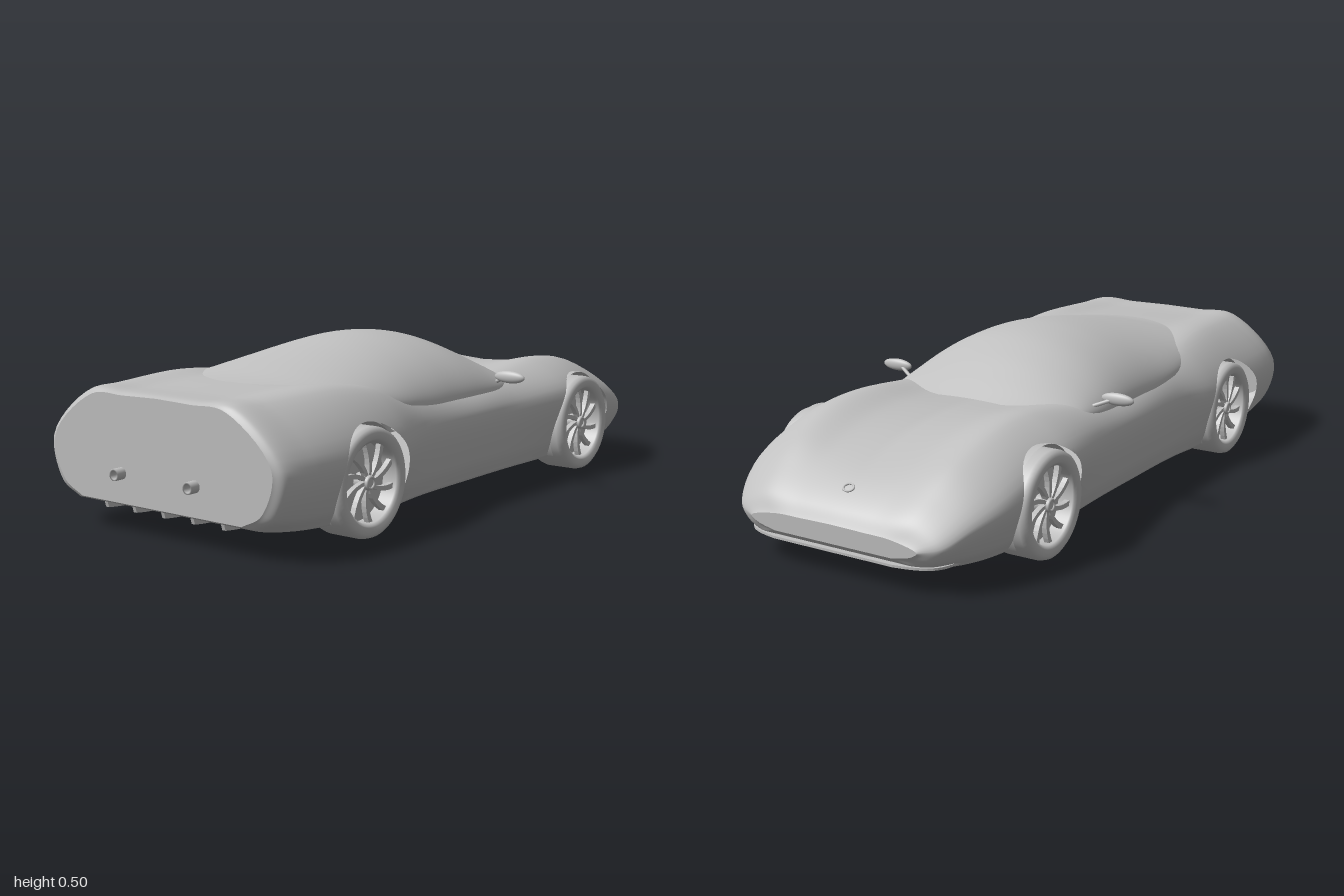
import * as THREE from 'three';

const paint = new THREE.MeshStandardMaterial({ color: 0xc0c0c0, side: THREE.DoubleSide });
paint.name = 'plain grey';

const AXLES = [-0.585, 0.572], HUB_Y = 0.155, ARCH_R = 0.167, WELL_Z = 0.29;

function add(parent, name, geometry, x = 0, y = 0, z = 0) {
  const mesh = new THREE.Mesh(geometry, paint);
  mesh.name = name;
  mesh.position.set(x, y, z);
  parent.add(mesh);
  return mesh;
}

// Smooths a table of stations along its first column; returns count + 1 rows.
function smoothRows(rows, count) {
  const curves = rows[0].slice(1).map((_, k) =>
    new THREE.CatmullRomCurve3(rows.map(r => new THREE.Vector3(r[0], r[k + 1], 0))));
  const out = [];
  for (let i = 0; i <= count; i++) {
    // Column heights are resampled at equal x so that every ring stays flat
    const x = THREE.MathUtils.lerp(rows[0][0], rows[rows.length - 1][0], 0.5 - 0.5 * Math.cos(Math.PI * i / count));
    let s = 0;
    while (s < rows.length - 2 && rows[s + 1][0] < x) s++;
    let lo = s / (rows.length - 1), hi = (s + 1) / (rows.length - 1);
    out.push([x, ...curves.map(c => {
      let a = lo, b = hi;
      for (let n = 0; n < 16; n++) {
        const m = (a + b) / 2;
        if (c.getPoint(m).x < x) a = m; else b = m;
      }
      return c.getPoint((a + b) / 2).y;
    })]);
  }
  return out;
}

// Skins rings of points; rings run from the top over +z.
function loft(rings, closed) {
  const n = rings[0].length, index = [];
  for (let i = 0; i < rings.length - 1; i++) {
    for (let j = 0; j < (closed ? n : n - 1); j++) {
      const a = i * n + j, b = i * n + (j + 1) % n;
      index.push(a, b, a + n, b, b + n, a + n);
    }
  }
  const g = new THREE.BufferGeometry().setFromPoints(rings.flat());
  g.setIndex(index);
  g.computeVertexNormals();
  return g;
}

// Flat fan closing the end of a loft
function cap(ring, forward) {
  const mid = new THREE.Vector3(ring[0].x, (ring[0].y + ring[ring.length / 2].y) / 2, 0);
  const pts = [];
  ring.forEach((p, j) => {
    const q = ring[(j + 1) % ring.length];
    pts.push(mid, forward ? q : p, forward ? p : q);
  });
  const g = new THREE.BufferGeometry().setFromPoints(pts);
  g.computeVertexNormals();
  return g;
}

// Trims the wheel openings out of a mesh, cutting triangles along the arch circle
function cutArches(geometry) {
  const g = geometry.toNonIndexed(), P = g.attributes.position, N = g.attributes.normal;
  const pos = [], nor = [];
  const keep = p => Math.max(
    Math.min(...AXLES.map(x => Math.hypot(p.x - x, p.y - HUB_Y))) - ARCH_R, WELL_Z - Math.abs(p.z));
  for (let t = 0; t < P.count; t += 3) {
    const tri = [0, 1, 2].map(k => {
      const p = new THREE.Vector3().fromBufferAttribute(P, t + k);
      return { p, n: new THREE.Vector3().fromBufferAttribute(N, t + k), f: keep(p) };
    });
    const poly = [];
    tri.forEach((a, k) => {
      const b = tri[(k + 1) % 3];
      if (a.f >= 0) poly.push(a);
      if ((a.f >= 0) !== (b.f >= 0)) {
        const s = a.f / (a.f - b.f);
        poly.push({ p: a.p.clone().lerp(b.p, s), n: a.n.clone().lerp(b.n, s).normalize() });
      }
    });
    for (let k = 1; k < poly.length - 1; k++) {
      for (const v of [poly[0], poly[k], poly[k + 1]]) {
        pos.push(...v.p.toArray());
        nor.push(...v.n.toArray());
      }
    }
  }
  const out = new THREE.BufferGeometry();
  out.setAttribute('position', new THREE.Float32BufferAttribute(pos, 3));
  out.setAttribute('normal', new THREE.Float32BufferAttribute(nor, 3));
  return out;
}

function buildBody(car) {
  // x, centre top, fender z and y, widest z and y, sill z and y, floor z and y
  const stations = smoothRows([
    [-0.97, 0.395, 0.25, 0.385, 0.405, 0.25, 0.37, 0.13, 0.30, 0.09],
    [-0.95, 0.40, 0.27, 0.395, 0.43, 0.25, 0.40, 0.12, 0.33, 0.08],
    [-0.85, 0.40, 0.29, 0.395, 0.45, 0.25, 0.42, 0.11, 0.37, 0.065],
    [-0.60, 0.405, 0.31, 0.40, 0.455, 0.25, 0.435, 0.12, 0.40, 0.055],
    [-0.45, 0.39, 0.32, 0.385, 0.442, 0.25, 0.425, 0.12, 0.39, 0.055],
    [-0.28, 0.36, 0.32, 0.35, 0.402, 0.26, 0.395, 0.12, 0.37, 0.055],
    [0.00, 0.33, 0.32, 0.325, 0.395, 0.26, 0.39, 0.12, 0.365, 0.055],
    [0.20, 0.33, 0.31, 0.335, 0.397, 0.26, 0.39, 0.12, 0.365, 0.055],
    [0.48, 0.338, 0.29, 0.366, 0.435, 0.27, 0.41, 0.12, 0.375, 0.055],
    [0.65, 0.322, 0.29, 0.353, 0.432, 0.25, 0.41, 0.11, 0.375, 0.055],
    [0.80, 0.283, 0.28, 0.304, 0.42, 0.215, 0.395, 0.105, 0.35, 0.055],
    [0.90, 0.24, 0.27, 0.243, 0.385, 0.18, 0.36, 0.10, 0.31, 0.06],
    [0.97, 0.19, 0.25, 0.187, 0.34, 0.14, 0.32, 0.10, 0.27, 0.07],
    [1.00, 0.15, 0.20, 0.145, 0.28, 0.125, 0.26, 0.11, 0.20, 0.095],
  ], 180);
  const rings = stations.map(([x, yc, zf, yf, w, ym, wl, yl, wb, yb]) => {
    const side = new THREE.CatmullRomCurve3([[0, yc], [zf * 0.5, yc * 0.65 + yf * 0.35], [zf, yf], [w, ym], [wl, yl], [wb, yb]]
      .map(([z, y]) => new THREE.Vector3(x, y, z))).getPoints(35);
    const floor = [0.98, 0.88, 0.78, 0.68, 0.5, 0.25, 0].map(f => new THREE.Vector3(x, yb, wb * f));
    const half = [...side, ...floor];
    const mirrored = half.slice(1, -1).reverse().map(p => new THREE.Vector3(p.x, p.y, -p.z));
    return [...half, ...mirrored];
  });
  add(car, 'bodyShell', cutArches(loft(rings, true)));
  add(car, 'tailPanel', cap(rings[0], false));
  add(car, 'noseTip', cap(rings[rings.length - 1], true));
}

function buildCanopy(car) {
  // x, half width, base height, roof height
  const stations = smoothRows([
    [-0.74, 0.20, 0.38, 0.398], [-0.62, 0.29, 0.37, 0.413], [-0.50, 0.335, 0.355, 0.437],
    [-0.35, 0.36, 0.33, 0.465], [-0.20, 0.362, 0.312, 0.488], [-0.08, 0.36, 0.31, 0.495],
    [0.05, 0.36, 0.31, 0.482], [0.15, 0.355, 0.31, 0.447], [0.25, 0.335, 0.315, 0.395],
    [0.34, 0.28, 0.31, 0.343],
  ], 60);
  const rings = stations.map(([x, w, base, top]) => {
    const ring = [];
    for (let j = 0; j <= 48; j++) {
      const a = (j / 48 - 0.5) * Math.PI;
      ring.push(new THREE.Vector3(x, base + (top - base) * Math.max(0, Math.cos(a)) ** 1.3, w * Math.sin(a)));
    }
    return ring;
  });
  add(car, 'canopy', loft(rings, false));
}

function buildWheel() {
  const wheel = new THREE.Group();
  const profile = [[0.112, -0.055], [0.122, -0.065], [0.14, -0.067], [0.151, -0.059], [0.155, -0.045], [0.155, 0.045],
    [0.151, 0.059], [0.14, 0.067], [0.122, 0.065], [0.119, 0.058], [0.112, 0.055], [0.112, -0.055]];
  add(wheel, 'tyre', new THREE.LatheGeometry(profile.map(p => new THREE.Vector2(...p)), 64).rotateX(Math.PI / 2));
  add(wheel, 'rimBack', new THREE.CylinderGeometry(0.113, 0.113, 0.01, 48).rotateX(Math.PI / 2), 0, 0, 0.005);
  add(wheel, 'hub', new THREE.CylinderGeometry(0.02, 0.026, 0.04, 24).rotateX(Math.PI / 2), 0, 0, 0.032);
  add(wheel, 'hubRing', new THREE.TorusGeometry(0.016, 0.004, 8, 24), 0, 0, 0.052);
  // Swept spokes
  const at = (r, a) => [r * Math.cos(a), r * Math.sin(a)];
  const spoke = new THREE.Shape();
  spoke.moveTo(...at(0.018, -0.3));
  spoke.quadraticCurveTo(...at(0.07, 0.0), ...at(0.114, 0.32));
  spoke.lineTo(...at(0.114, 0.46));
  spoke.quadraticCurveTo(...at(0.065, 0.18), ...at(0.018, 0.3));
  const spokeGeometry = new THREE.ExtrudeGeometry(spoke, { depth: 0.016, bevelEnabled: false, curveSegments: 6 });
  for (let i = 0; i < 10; i++) add(wheel, 'spoke', spokeGeometry, 0, 0, 0.03).rotation.z = i * Math.PI / 5;
  return wheel;
}

export function createModel() {
  const car = new THREE.Group();
  car.name = 'sportsCar';
  buildBody(car);
  buildCanopy(car);

  for (const side of [1, -1]) {
    const sideName = side > 0 ? 'left' : 'right';
    AXLES.forEach((x, i) => {
      const wheel = buildWheel();
      wheel.name = sideName + (i ? 'FrontWheel' : 'RearWheel');
      wheel.position.set(x, HUB_Y, side * 0.373);
      if (side < 0) wheel.rotation.y = Math.PI;
      car.add(wheel);
      // Arch liner above the floor line
      const liner = new THREE.CylinderGeometry(ARCH_R, ARCH_R, 0.11, 48, 1, true, Math.PI / 2 - 0.6, Math.PI + 1.2).rotateX(Math.PI / 2);
      add(car, 'wheelArch', liner, x, HUB_Y, side * (WELL_Z + 0.055));
    });

    // Door mirror on a thin stalk
    const mirror = add(car, sideName + 'Mirror', new THREE.SphereGeometry(1, 32, 20), 0.155, 0.355, side * 0.402);
    mirror.scale.set(0.013, 0.019, 0.054);
    const stalk = new THREE.LineCurve3(new THREE.Vector3(0.185, 0.33, side * 0.33), new THREE.Vector3(0.158, 0.352, side * 0.385));
    add(car, sideName + 'MirrorStalk', new THREE.TubeGeometry(stalk, 2, 0.006, 8));

    // Exhaust pipe
    const pipe = [[0.012, -0.03], [0.017, -0.03], [0.017, 0.03], [0.012, 0.03], [0.012, -0.03]].map(p => new THREE.Vector2(...p));
    add(car, sideName + 'Exhaust', new THREE.LatheGeometry(pipe, 24).rotateZ(Math.PI / 2), -0.97, 0.175, side * 0.138);
  }

  // Nose splitter
  const lip = new THREE.Shape();
  lip.moveTo(0.88, 0.335);
  lip.bezierCurveTo(0.96, 0.335, 0.985, 0.30, 1.0, 0.20);
  lip.lineTo(1.0, -0.20);
  lip.bezierCurveTo(0.985, -0.30, 0.96, -0.335, 0.88, -0.335);
  add(car, 'splitter', new THREE.ExtrudeGeometry(lip, { depth: 0.007, bevelEnabled: false }).rotateX(Math.PI / 2), 0, 0.078);

  // Nose badge ring, left blank
  const ring = add(car, 'noseRing', new THREE.TorusGeometry(0.013, 0.003, 8, 32).rotateX(Math.PI / 2), 0.92, 0.231);
  ring.scale.z = 1.25;
  ring.rotation.z = -0.6;

  // Diffuser fins under the tail
  const fin = new THREE.Shape();
  fin.moveTo(-0.96, 0.10);
  fin.lineTo(-0.95, 0.065);
  fin.quadraticCurveTo(-0.88, 0.055, -0.80, 0.06);
  fin.lineTo(-0.80, 0.10);
  const finGeometry = new THREE.ExtrudeGeometry(fin, { depth: 0.012, bevelEnabled: false });
  for (let i = -2; i <= 2; i++) add(car, 'diffuserFin', finGeometry, 0, 0, i * 0.11 - 0.006);
  return car;
}
